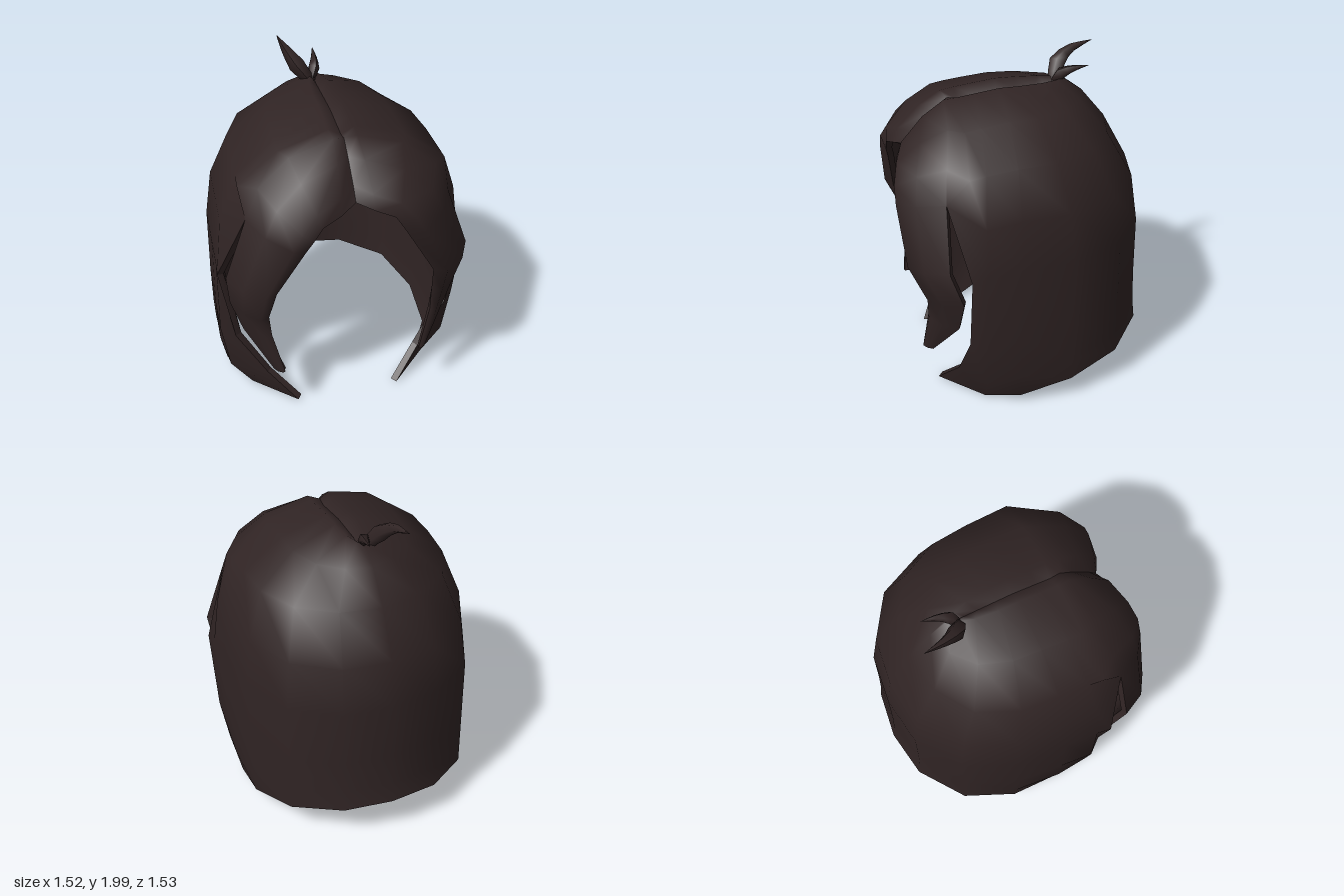
import * as THREE from 'three';

const hair = new THREE.MeshStandardMaterial({ color: 0x302424 });
hair.name = 'dark brown hair';

// Dome rows from the parting down: height, spread in x, spread in z
const domeRows = [[1.80, 0, 0], [1.845, .1, .1], [1.76, .49, .33], [1.58, .81, .62], [1.30, .95, .92], [1.0, 1, 1]];
// Fractions of the way from the widest row down to the hem
const skirtRows = [.52, .82, 1];
// Strands from the back centre to the front edge: parting z, widest x and z, hem x, y, z, curl power
const strands = [
  [-.25, 0, -.74, 0, .29, -.765, 4],
  [-.20, .30, -.70, .30, .28, -.72, 4],
  [-.12, .57, -.52, .57, .235, -.52, 4],
  [0, .71, -.21, .69, .155, -.21, 4],
  [.10, .735, .10, .68, .07, .10, 6],
  [.24, .75, .31, .56, .01, .30, 6],
  [.34, .76, .40, .32, .015, .55, 2.4],
];
// Side and inner edges of the fringe, from the parting to the tip of the lock
const fringeSide = [[0, 1.78, .40], [.07, 1.80, .43], [.33, 1.73, .45], [.52, 1.58, .49], [.60, 1.40, .51], [.73, 1.02, .52], [.70, .78, .44], [.63, .58, .46], [.48, .35, .60]];
const fringeInner = [[0, 1.51, .66], [.10, 1.475, .72], [.21, 1.43, .745], [.26, 1.35, .745], [.30, 1.28, .73], [.47, .98, .69], [.50, .75, .60], [.49, .63, .62], [.42, .355, .65]];
const notchRow = 4;
const { lerp } = THREE.MathUtils;

function shellStrand([partZ, x, z, hemX, hemY, hemZ, curl]) {
  const drop = .14 * Math.max(0, partZ - .1);
  const dome = domeRows.map(([y, sx, sz]) => [x * sx, y - drop, lerp(partZ, z, sz)]);
  const skirt = skirtRows.map(t => [lerp(x, hemX, t ** curl), lerp(1, hemY, t), lerp(z, hemZ, t ** 6)]);
  return [...dome, ...skirt];
}

// Strand between the two fringe edges, swelling forward
function fringeStrand(t) {
  return fringeSide.map((p, j) => {
    const [x, y, z] = p.map((v, k) => lerp(v, fringeInner[j][k], t));
    return [x, y, z + .1 * Math.sin(Math.PI * (j + .5) / 9)];
  });
}

function makeGeometry(positions, indices) {
  const g = new THREE.BufferGeometry();
  g.setAttribute('position', new THREE.Float32BufferAttribute(positions, 3));
  g.setIndex(indices);
  g.computeVertexNormals();
  return g;
}

function addMesh(group, name, geometry) {
  const mesh = new THREE.Mesh(geometry, hair);
  mesh.name = name;
  group.add(mesh);
}

function buildCap(group, thickness) {
  const [backCentre, ...sides] = strands.map(shellStrand);
  sides[sides.length - 1][notchRow] = fringeSide[notchRow];
  const fringe = [fringeSide, fringeStrand(.27), fringeStrand(.72), fringeInner];
  const half = [...sides, ...fringe];
  const mirrored = half.map(s => s.map(([x, y, z]) => [-x, y, z]));
  const columns = [...half.slice().reverse(), backCentre, ...mirrored];
  const rows = backCentre.length;

  // Outer skin, leaving a slit between each side and its fringe lock
  const quads = [];
  const slits = [fringe.length - 1, columns.length - 1 - fringe.length];
  for (let i = 0; i < columns.length - 1; i++) {
    for (let j = 0; j < rows - 1; j++) {
      if (slits.includes(i) && j >= notchRow) continue;
      const a = i * rows + j, d = a + rows;
      quads.push([a, a + 1, d + 1, d]);
    }
  }
  const outer = makeGeometry(columns.flat(2), quads.flatMap(([a, b, c, d]) => [a, b, c, a, c, d]));
  addMesh(group, 'outerHair', outer);

  // Lining, set in along the normals
  const p = outer.attributes.position.array, n = outer.attributes.normal.array;
  const inset = Array.from(p, (v, k) => v - n[k] * thickness);
  addMesh(group, 'innerHair', makeGeometry(inset, quads.flatMap(([a, b, c, d]) => [a, c, b, a, d, c])));

  // Rim closing every free edge
  const edges = new Set();
  for (const q of quads) q.forEach((a, k) => edges.add(a + '_' + q[(k + 1) % 4]));
  const rimPoints = [], rimIndex = [];
  for (const edge of edges) {
    const [a, b] = edge.split('_').map(Number);
    if (edges.has(b + '_' + a)) continue;
    const o = rimPoints.length / 3;
    for (const [list, v] of [[p, a], [p, b], [inset, b], [inset, a]]) {
      rimPoints.push(list[v * 3], list[v * 3 + 1], list[v * 3 + 2]);
    }
    rimIndex.push(o, o + 2, o + 1, o, o + 3, o + 2);
  }
  addMesh(group, 'hairRim', makeGeometry(rimPoints, rimIndex));
}

// Curved wisp, thickest a third of the way along and pointed at the tip
function wisp(points, radius) {
  const curve = new THREE.CatmullRomCurve3(points.map(q => new THREE.Vector3(...q)));
  const steps = 6, sides = 5;
  const g = new THREE.TubeGeometry(curve, steps, 1, sides);
  const pos = g.attributes.position, v = new THREE.Vector3();
  for (let i = 0; i <= steps; i++) {
    const t = i / steps, centre = curve.getPointAt(t);
    const r = radius * Math.min(.6 + 1.2 * t, 1.5 * (1 - t));
    for (let j = 0; j <= sides; j++) {
      const id = i * (sides + 1) + j;
      v.fromBufferAttribute(pos, id).sub(centre).multiplyScalar(r).add(centre);
      pos.setXYZ(id, v.x, v.y, v.z);
    }
  }
  g.computeVertexNormals();
  return g;
}

export function createModel() {
  const group = new THREE.Group();
  group.name = 'hair';
  buildCap(group, 0.04);
  // Two stray wisps on the crown
  addMesh(group, 'tallWisp', wisp([[-.02, 1.80, -.25], [-.09, 1.89, -.28], [-.14, 1.96, -.37], [-.17, 2.0, -.52]], .052));
  addMesh(group, 'shortWisp', wisp([[-.03, 1.80, -.25], [0, 1.87, -.28], [.02, 1.905, -.35], [.035, 1.925, -.45]], .036));
  return group;
}
